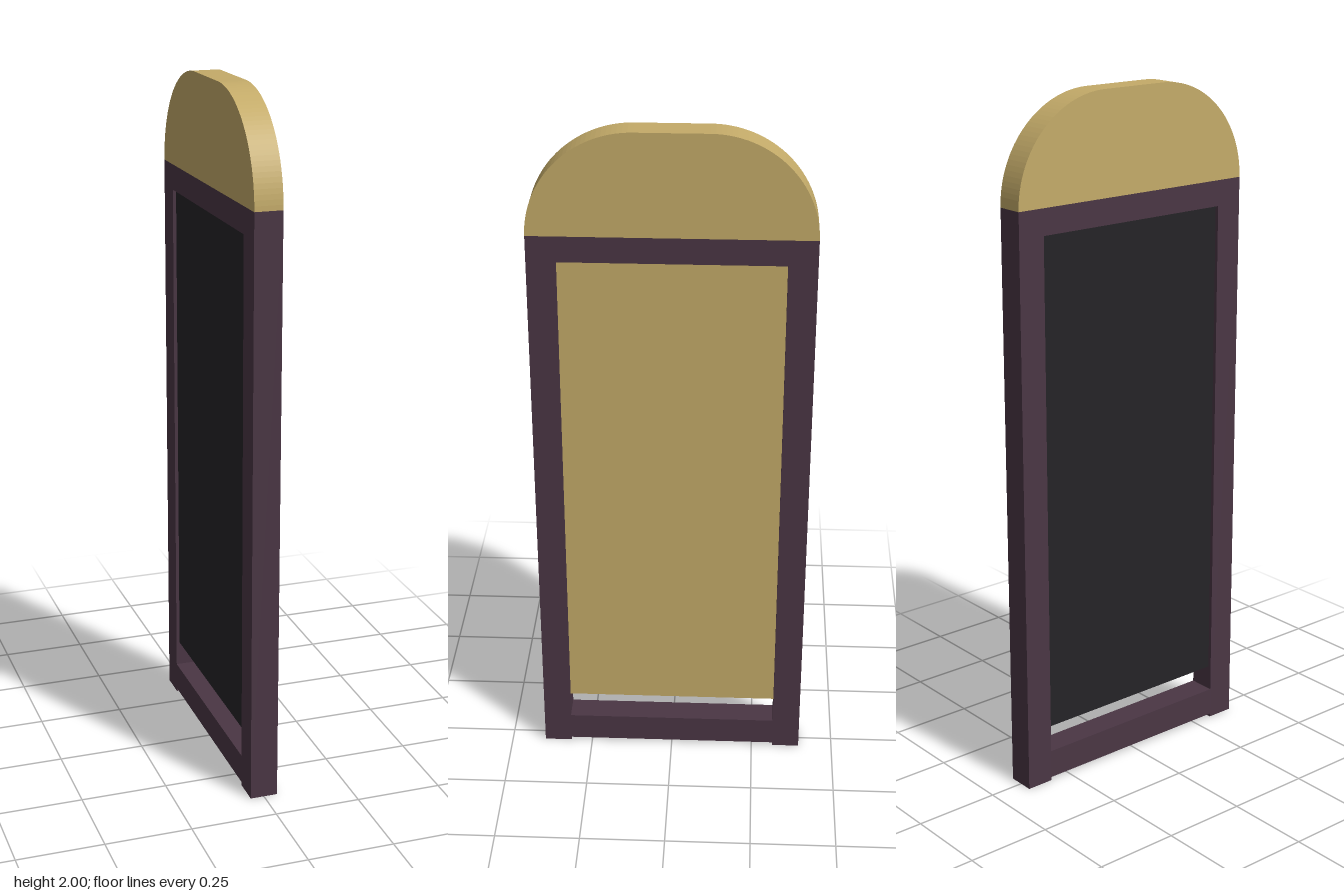
import * as THREE from 'three';

const WIDTH = 0.794, DEPTH = 0.08, FRAME_TOP = 1.705;
const HALF = WIDTH / 2, INNER = 0.315;

export function createModel() {
  const group = new THREE.Group();
  const wood = new THREE.MeshStandardMaterial({ color: 0x4a3644 });
  const gold = new THREE.MeshStandardMaterial({ color: 0xc4ab69 });
  const black = new THREE.MeshStandardMaterial({ color: 0x252327 });

  // Box given by its limits on each axis
  const box = (name, material, [x0, x1], [y0, y1], [z0, z1]) => {
    const mesh = new THREE.Mesh(new THREE.BoxGeometry(x1 - x0, y1 - y0, z1 - z0), material);
    mesh.position.set((x0 + x1) / 2, (y0 + y1) / 2, (z0 + z1) / 2);
    mesh.name = name;
    group.add(mesh);
  };

  // Frame: two posts and two rails
  const full = [-DEPTH / 2, DEPTH / 2];
  box('frontPost', wood, full, [0, FRAME_TOP], [INNER, HALF]);
  box('backPost', wood, full, [0, FRAME_TOP], [-HALF, -INNER]);
  box('topRail', wood, full, [1.63, FRAME_TOP], [-INNER, INNER]);
  box('bottomRail', wood, full, [0.01, 0.095], [-INNER, INNER]);

  // Inset panel: gold face with a dark backing, open below
  box('panel', gold, [0, 0.027], [0.17, 1.63], [-INNER, INNER]);
  box('panelBacking', black, [-0.03, 0], [0.17, 1.63], [-INNER, INNER]);

  // Header with rounded shoulders
  const r = 2 - FRAME_TOP;
  const shape = new THREE.Shape();
  shape.moveTo(-HALF, 0);
  shape.lineTo(HALF, 0);
  shape.absarc(HALF - r, 0, r, 0, Math.PI / 2, false);
  shape.absarc(-HALF + r, 0, r, Math.PI / 2, Math.PI, false);
  const geometry = new THREE.ExtrudeGeometry(shape, { depth: DEPTH, bevelEnabled: false, curveSegments: 16 });
  geometry.translate(0, 0, -DEPTH / 2);
  geometry.rotateY(Math.PI / 2);
  const header = new THREE.Mesh(geometry, gold);
  header.position.y = FRAME_TOP;
  header.name = 'roundedHeader';
  group.add(header);

  return group;
}
